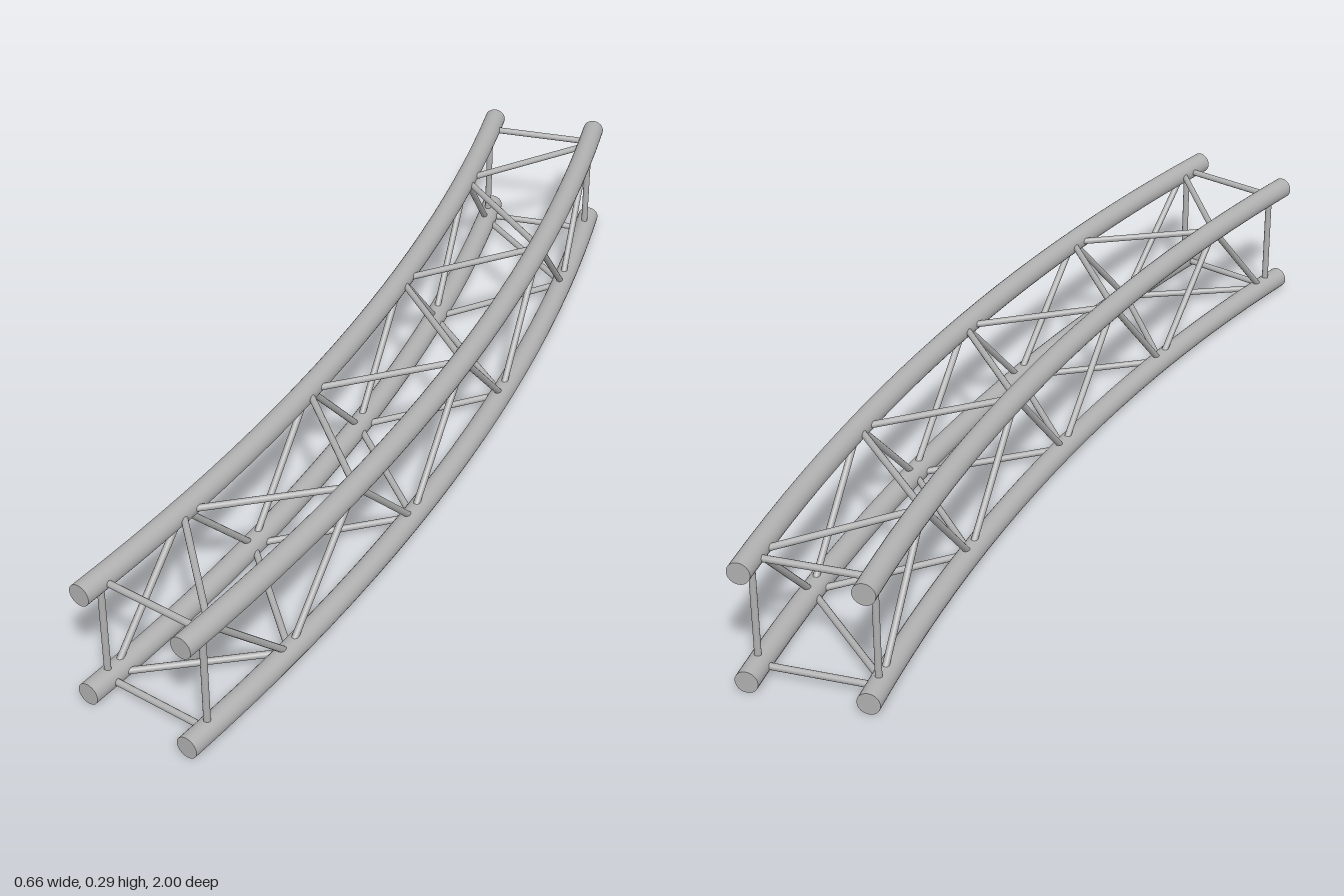
import * as THREE from 'three';

const CENTER_X = -4.897;            // centre of the bend, level with the front end
const FRONT_Z = 1;
const INNER = 4.965, OUTER = 5.203; // bend radii of the chords
const LOW = 0.0235, HIGH = 0.263;   // chord heights
const SWEEP = Math.PI / 8;
const CHORD_R = 0.0233, BRACE_R = 0.007;
const BAYS = 8, NODE_INSET = 0.0148, FRAME_INSET = 0.0114;

// Point on a chord at angle a along the bend
function at(radius, y, a) {
  return new THREE.Vector3(CENTER_X + radius * Math.cos(a), y, FRONT_Z - radius * Math.sin(a));
}

class ArcCurve extends THREE.Curve {
  constructor(radius, y) {
    super();
    this.radius = radius;
    this.y = y;
  }
  getPoint(t, target = new THREE.Vector3()) {
    return target.copy(at(this.radius, this.y, t * SWEEP));
  }
  getTangent(t, target = new THREE.Vector3()) {
    const a = t * SWEEP;
    return target.set(-Math.sin(a), 0, -Math.cos(a));
  }
}

export function createModel() {
  const model = new THREE.Group();
  model.name = 'curvedBoxTruss';
  const metal = new THREE.MeshStandardMaterial({ color: 0xb0b0b0 });
  metal.name = 'greyMetal';

  function add(geometry, name, parent) {
    const mesh = new THREE.Mesh(geometry, metal);
    mesh.name = name;
    parent.add(mesh);
    return mesh;
  }

  // Straight round bar between two points
  function bar(a, b, name, parent) {
    const dir = b.clone().sub(a);
    const mesh = add(new THREE.CylinderGeometry(BRACE_R, BRACE_R, dir.length(), 12), name, parent);
    mesh.position.copy(a).add(b).multiplyScalar(0.5);
    mesh.quaternion.setFromUnitVectors(new THREE.Vector3(0, 1, 0), dir.normalize());
  }

  // Four bent main tubes with flat end caps
  for (const [side, radius] of [['inner', INNER], ['outer', OUTER]]) {
    for (const [level, y] of [['Lower', LOW], ['Upper', HIGH]]) {
      const chord = new THREE.Group();
      chord.name = side + level + 'Chord';
      model.add(chord);
      const curve = new ArcCurve(radius, y);
      add(new THREE.TubeGeometry(curve, 24, CHORD_R, 24, false), 'tube', chord);
      for (const t of [0, 1]) {
        const cap = add(new THREE.CircleGeometry(CHORD_R, 24), t ? 'backCap' : 'frontCap', chord);
        cap.position.copy(curve.getPoint(t));
        cap.rotation.y = t * SWEEP + (t ? Math.PI : 0);
      }
    }
  }

  // Square frame of bars near each end
  for (const [name, a] of [['frontFrame', FRAME_INSET], ['backFrame', SWEEP - FRAME_INSET]]) {
    const frame = new THREE.Group();
    frame.name = name;
    model.add(frame);
    for (const r of [INNER, OUTER]) bar(at(r, LOW, a), at(r, HIGH, a), 'upright', frame);
    for (const y of [LOW, HIGH]) bar(at(INNER, y, a), at(OUTER, y, a), 'crossbar', frame);
  }

  // Zigzag bracing: each face alternates between its two chords,
  // and opposite faces alternate the other way round
  const faces = [
    ['innerBraces', [INNER, LOW], [INNER, HIGH]],
    ['outerBraces', [OUTER, HIGH], [OUTER, LOW]],
    ['upperBraces', [OUTER, HIGH], [INNER, HIGH]],
    ['lowerBraces', [INNER, LOW], [OUTER, LOW]],
  ];
  const step = (SWEEP - 2 * NODE_INSET) / BAYS;
  for (const [name, even, odd] of faces) {
    const lattice = new THREE.Group();
    lattice.name = name;
    model.add(lattice);
    const node = (i) => at(...(i % 2 ? odd : even), NODE_INSET + i * step);
    for (let i = 0; i < BAYS; i++) bar(node(i), node(i + 1), 'diagonal', lattice);
  }
  return model;
}
